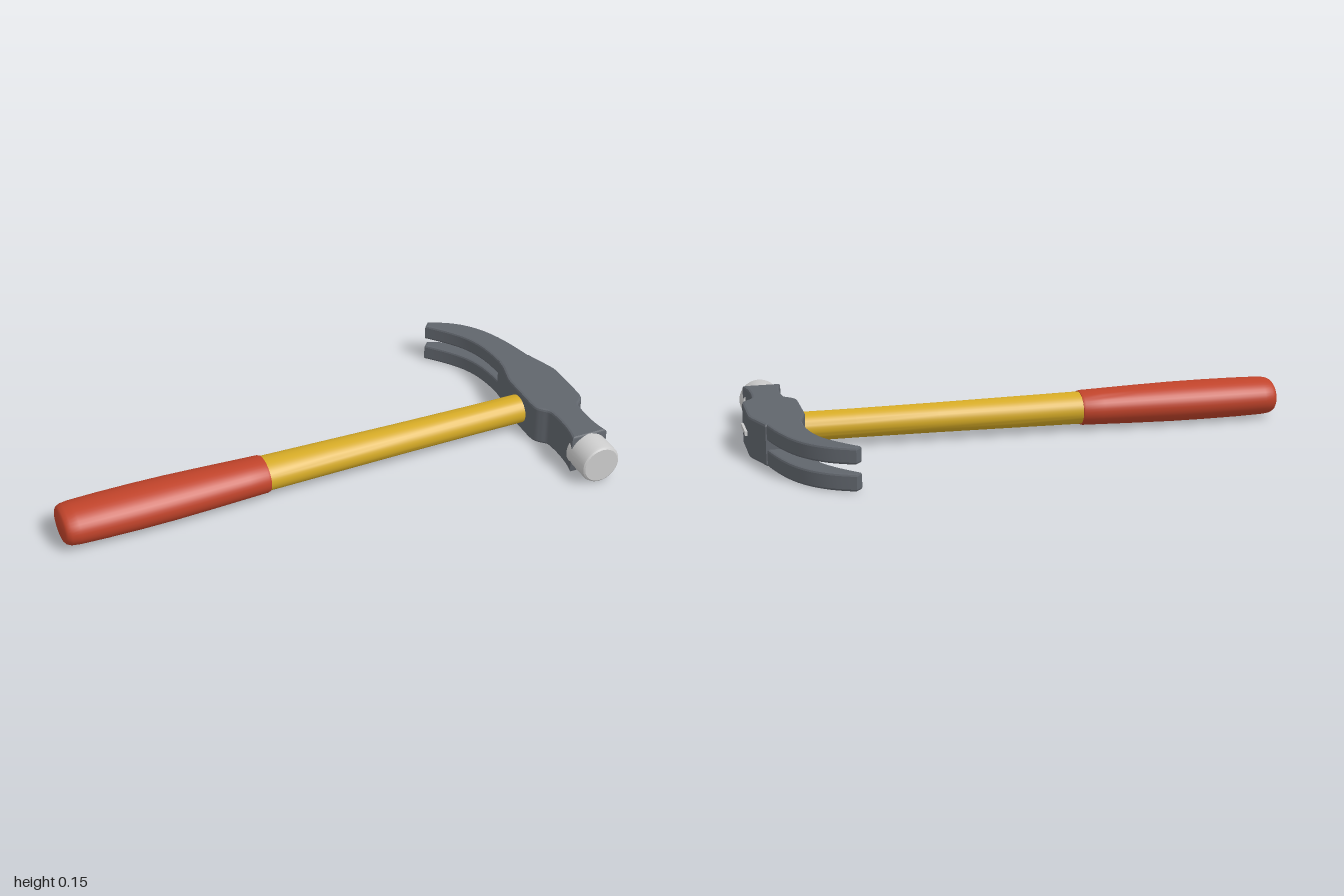
import * as THREE from 'three';
import { toCreasedNormals } from 'three/addons/utils/BufferGeometryUtils.js';

const CY = 0.076, HANDLE_Z = 0.068, HEAD_X = 0.888;

function material(name, color) {
  const m = new THREE.MeshStandardMaterial({ color });
  m.name = name;
  return m;
}

function mesh(name, geometry, mat) {
  const m = new THREE.Mesh(geometry, mat);
  m.name = name;
  return m;
}

// Smooth polyline through [x, z] points
function smooth(points, n) {
  return new THREE.SplineCurve(points.map(([x, z]) => new THREE.Vector2(x, -z))).getPoints(n);
}

// Bevelled plate: an outline in x/z raised from y0 to y1
function plate(outline, y0, y1, bevel) {
  const g = new THREE.ExtrudeGeometry(new THREE.Shape(outline), {
    depth: y1 - y0 - 2 * bevel, bevelEnabled: true, bevelThickness: bevel,
    bevelSize: bevel, bevelOffset: -bevel, bevelSegments: 2,
  });
  g.rotateX(-Math.PI / 2).translate(0, y0 + bevel, 0);
  return toCreasedNormals(g, 0.36);
}

// Oval bar along x from [x, half width] points; flatter towards the grip end
function ovalBar(profile) {
  const g = new THREE.LatheGeometry(profile.map(([x, r]) => new THREE.Vector2(r, x)), 40);
  g.rotateZ(-Math.PI / 2);
  const p = g.attributes.position;
  for (let i = 0; i < p.count; i++) {
    const t = THREE.MathUtils.clamp((p.getX(i) + 0.7) / 1.5, 0, 1);
    p.setY(i, p.getY(i) * THREE.MathUtils.lerp(0.76, 0.92, t));
  }
  g.translate(0, CY, HANDLE_Z);
  return toCreasedNormals(g, 0.7);
}

export function createModel() {
  const red = material('red grip', 0xc0432a);
  const yellow = material('yellow handle', 0xd6ab26);
  const steel = material('dark steel', 0x60656c);
  const bright = material('bright steel', 0xcccccc);
  const hammer = new THREE.Group();
  hammer.name = 'hammer';

  // Grip and handle
  hammer.add(mesh('grip', ovalBar([
    [-1, 0], [-1, 0.07], [-0.994, 0.08], [-0.98, 0.088], [-0.95, 0.092], [-0.85, 0.095],
    [-0.72, 0.096], [-0.6, 0.094], [-0.45, 0.088], [-0.32, 0.082], [-0.25, 0.079],
    [-0.242, 0.076], [-0.242, 0],
  ]), red));
  hammer.add(mesh('handle', ovalBar([
    [-0.26, 0], [-0.26, 0.0735], [0, 0.068], [0.3, 0.062], [0.6, 0.058], [0.82, 0.057], [0.82, 0],
  ]), yellow));

  // Head: block around the handle, waisted neck towards the face
  const right = [
    [0.943, -0.145], [0.955, -0.11], [0.97, -0.07], [0.985, -0.025], [0.988, 0.01], [0.988, 0.08],
    [0.988, 0.15], [0.984, 0.185], [0.968, 0.207], [0.95, 0.225], [0.945, 0.25],
    [0.943, 0.3], [0.947, 0.36], [0.958, 0.412],
  ];
  const left = [
    [0.818, 0.412], [0.829, 0.36], [0.833, 0.3], [0.831, 0.25], [0.826, 0.225],
    [0.808, 0.207], [0.792, 0.185], [0.787, 0.15], [0.787, 0.08], [0.787, 0.01], [0.789, -0.025],
    [0.8, -0.07], [0.81, -0.11], [0.813, -0.145],
  ];
  hammer.add(mesh('headBody',
    plate([...smooth(right, 39), ...smooth(left, 39)], 0, 0.152, 0.009), steel));

  // Two curved claws with a slot between
  const outer = [
    [0.943, -0.11], [0.938, -0.15], [0.92, -0.225], [0.896, -0.3], [0.866, -0.365],
    [0.827, -0.42], [0.78, -0.463], [0.735, -0.49], [0.69, -0.51],
  ];
  const inner = [
    [0.668, -0.484], [0.705, -0.443], [0.742, -0.397], [0.775, -0.345], [0.798, -0.285],
    [0.81, -0.22], [0.815, -0.15], [0.815, -0.11],
  ];
  const claw = [...smooth(outer, 16), ...smooth(inner, 14)];
  for (const [name, y0, y1] of [['lowerClaw', 0, 0.061], ['upperClaw', 0.093, 0.152]]) {
    hammer.add(mesh(name, plate(claw, y0, y1, 0.008), steel));
  }

  // Striking face with a rounded rim
  const face = new THREE.LatheGeometry([
    [0, 0.385], [0.075, 0.385], [0.075, 0.494], [0.072, 0.502], [0.066, 0.506], [0, 0.506],
  ].map(([r, z]) => new THREE.Vector2(r, z)), 40);
  face.rotateX(Math.PI / 2).translate(HEAD_X, CY, 0);
  hammer.add(mesh('strikingFace', toCreasedNormals(face, 0.4), bright));

  // Wedge that locks the handle in the head
  const wedge = mesh('wedge', new THREE.BoxGeometry(0.03, 0.016, 0.115), bright);
  wedge.position.set(0.982, 0.079, 0.072);
  hammer.add(wedge);

  return hammer;
}
